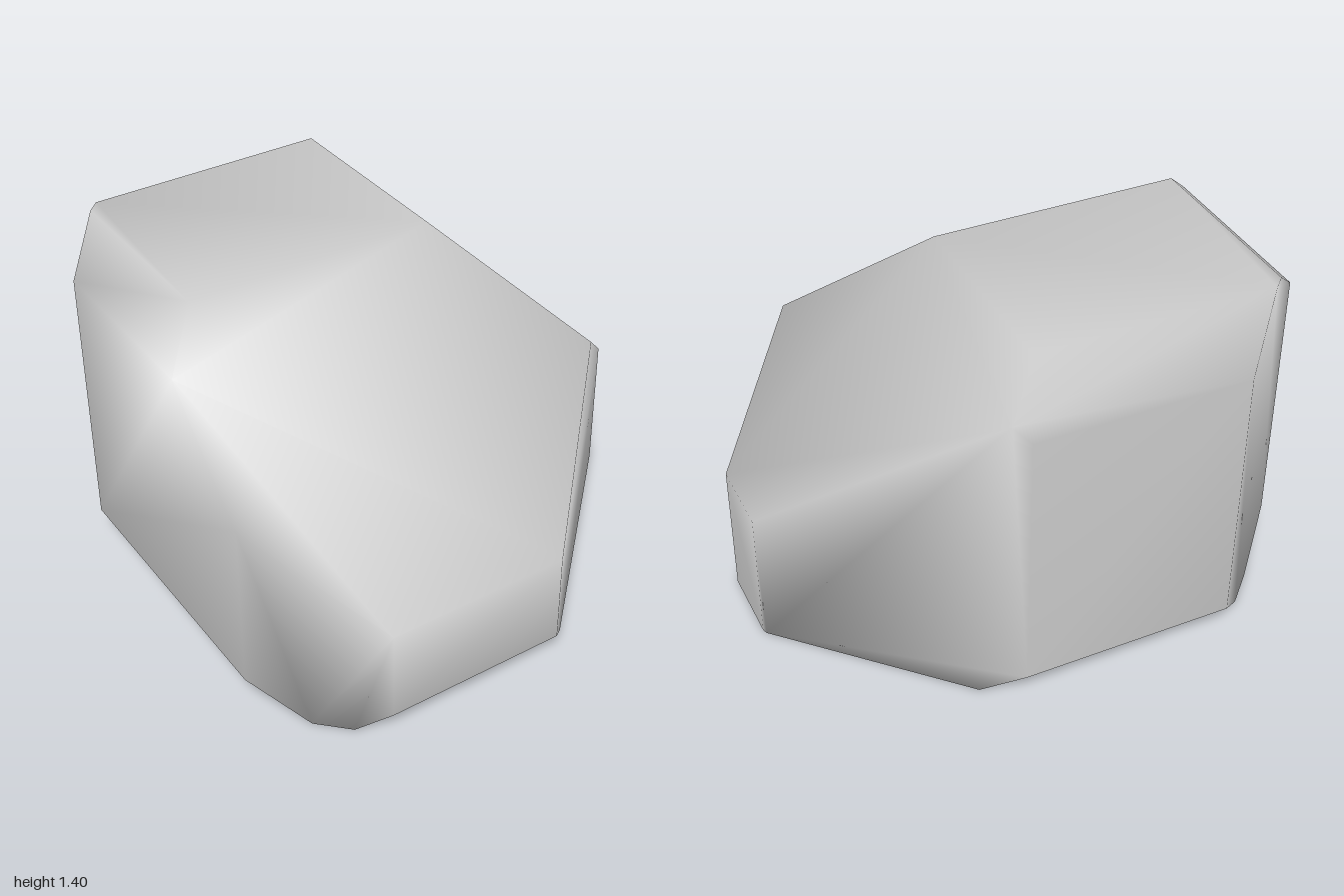
import * as THREE from 'three';
import { ConvexGeometry } from 'three/addons/geometries/ConvexGeometry.js';
import { mergeVertices } from 'three/addons/utils/BufferGeometryUtils.js';

// Bounding planes of the block: [nx, ny, nz, limit] meaning n . p <= limit
const PLANES = [
  // flat sides
  [1, 0, 0, 1], [-1, 0, 0, 1],
  [0, 1, 0, 1.405], [0, -1, 0, 0],
  [0, 0, 1, 0.97], [0, 0, -1, 0.97],
  // 45 degree cuts along the z edges
  [1, 1, 0, 1.557], [-1, 1, 0, 2.24], [-1, -1, 0, 0.83], [1, -1, 0, 0.99],
  // 45 degree cuts along the x edges
  [0, 1, 1, 1.44], [0, 1, -1, 2.175], [0, -1, 1, 0.87], [0, -1, -1, 0.84],
  // 45 degree cuts along the upright edges
  [1, 0, 1, 1.08], [1, 0, -1, 1.22], [-1, 0, 1, 1.59], [-1, 0, -1, 1.56],
];

// Corners: every point where three planes meet that lies inside all the others
function cornersOf(planes) {
  const normals = planes.map(([x, y, z]) => new THREE.Vector3(x, y, z));
  const corners = [];
  const n = planes.length;
  for (let i = 0; i < n; i++) {
    for (let j = i + 1; j < n; j++) {
      for (let k = j + 1; k < n; k++) {
        const jk = normals[j].clone().cross(normals[k]);
        const det = normals[i].dot(jk);
        if (Math.abs(det) < 1e-6) continue;
        const p = jk.multiplyScalar(planes[i][3])
          .addScaledVector(normals[k].clone().cross(normals[i]), planes[j][3])
          .addScaledVector(normals[i].clone().cross(normals[j]), planes[k][3])
          .divideScalar(det);
        const inside = planes.every((q, m) => normals[m].dot(p) <= q[3] + 1e-5);
        if (inside && !corners.some((c) => c.distanceTo(p) < 1e-3)) corners.push(p);
      }
    }
  }
  return corners;
}

export function createModel() {
  const group = new THREE.Group();
  group.name = 'chamferedBlock';

  // Convex body with shared corners, so shading blends softly over the cuts
  let geometry = new ConvexGeometry(cornersOf(PLANES));
  geometry.deleteAttribute('normal');
  geometry = mergeVertices(geometry, 1e-4);
  geometry.computeVertexNormals();

  const body = new THREE.Mesh(geometry, new THREE.MeshStandardMaterial({ color: 0xcccccc }));
  body.name = 'body';
  group.add(body);
  return group;
}
